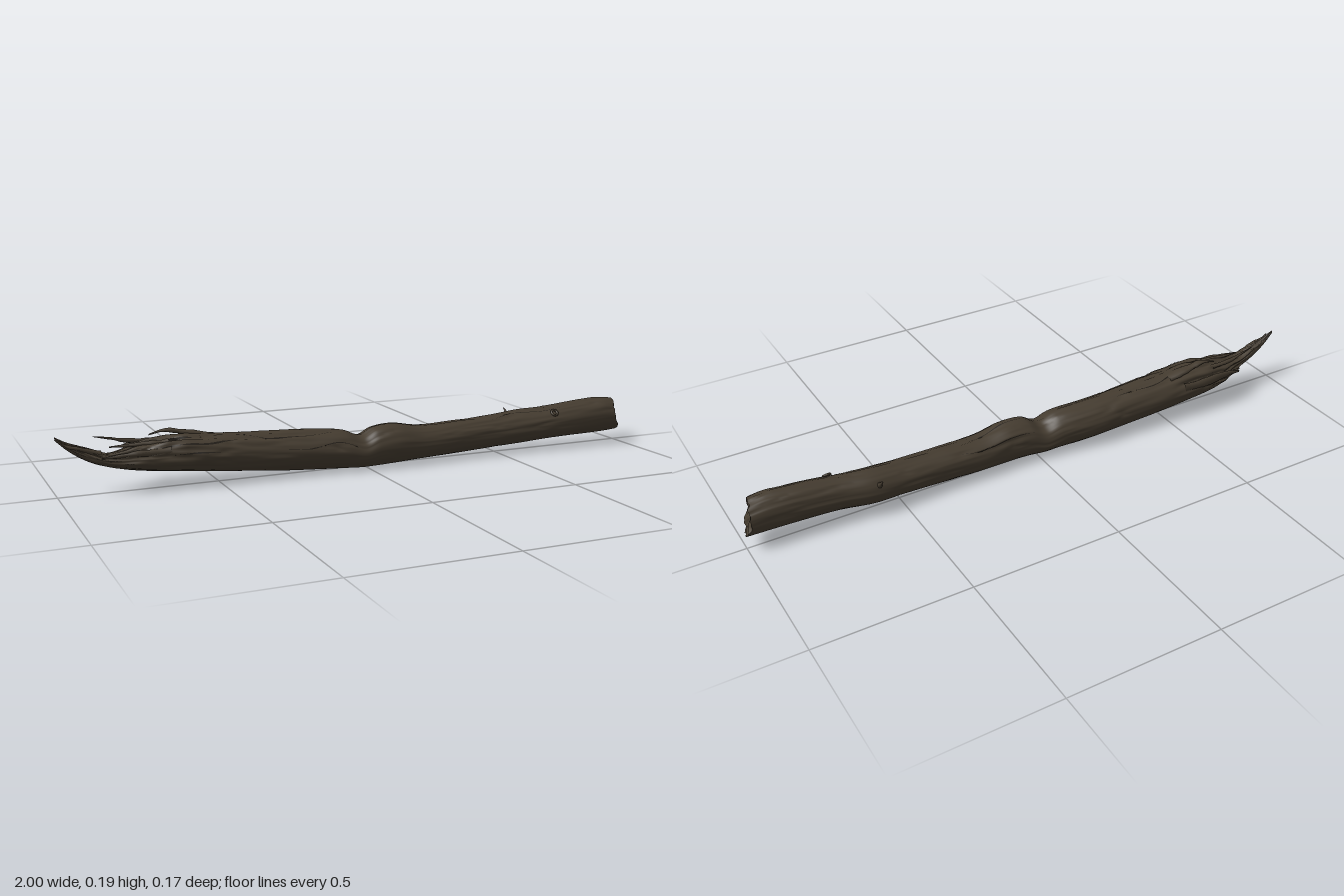
import * as THREE from 'three';

// Trunk cross-sections: x, bottom y, top y, back z, front z
const SECTIONS = [
  [-1, 0.18, 0.19, -0.004, 0.004], [-0.96, 0.143, 0.168, -0.01, 0.013],
  [-0.9, 0.105, 0.148, -0.018, 0.026], [-0.85, 0.088, 0.13, -0.026, 0.04],
  [-0.8, 0.075, 0.135, -0.04, 0.048], [-0.75, 0.064, 0.148, -0.068, 0.055],
  [-0.68, 0.053, 0.158, -0.08, 0.061], [-0.6, 0.045, 0.162, -0.081, 0.065],
  [-0.5, 0.035, 0.156, -0.08, 0.066], [-0.35, 0.022, 0.148, -0.076, 0.066],
  [-0.2, 0.012, 0.142, -0.074, 0.068], [-0.08, 0.006, 0.132, -0.062, 0.076],
  [-0.02, 0.004, 0.112, -0.056, 0.08], [0.03, 0.005, 0.136, -0.052, 0.083],
  [0.1, 0.008, 0.142, -0.05, 0.084], [0.2, 0.013, 0.127, -0.05, 0.078],
  [0.35, 0.018, 0.13, -0.05, 0.07], [0.5, 0.024, 0.136, -0.055, 0.066],
  [0.6, 0.028, 0.144, -0.06, 0.066], [0.7, 0.036, 0.15, -0.045, 0.07],
  [0.85, 0.041, 0.164, -0.039, 0.074], [0.92, 0.044, 0.167, -0.037, 0.076],
  [0.97, 0.048, 0.16, -0.036, 0.075],
];

// Smooth seeded value noise in the range -1 to 1
function hash(x, y, z) {
  const s = Math.sin(x * 127.1 + y * 311.7 + z * 74.7) * 43758.5453;
  return (s - Math.floor(s)) * 2 - 1;
}
function noise(x, y, z) {
  const i = [x, y, z].map(Math.floor);
  const [u, v, w] = [x - i[0], y - i[1], z - i[2]].map((f) => f * f * (3 - 2 * f));
  const mix = THREE.MathUtils.lerp;
  const edge = (b, c) => mix(hash(i[0], i[1] + b, i[2] + c), hash(i[0] + 1, i[1] + b, i[2] + c), u);
  return mix(mix(edge(0, 0), edge(1, 0), v), mix(edge(0, 1), edge(1, 1), v), w);
}

const heights = new THREE.CatmullRomCurve3(SECTIONS.map((s) => new THREE.Vector3(s[0], s[1], s[2])));
const depths = new THREE.CatmullRomCurve3(SECTIONS.map((s) => new THREE.Vector3(s[0], s[3], s[4])));

// Bark surface point; a = 0 is up, a quarter turn is the front
function bark(t, a, lift = 0) {
  const h = heights.getPoint(t), d = depths.getPoint(t);
  const ry = (h.z - h.y) / 2, rz = (d.z - d.y) / 2;
  const c = Math.cos(a), s = Math.sin(a), x = h.x;
  const torn = THREE.MathUtils.smoothstep(-x, 0.45, 0.7);
  const upper = 0.35 + 0.65 * THREE.MathUtils.smoothstep(c, -0.6, 0.3);
  let k = 1 + 0.05 * noise(x * 4, c * 1.5, s * 1.5);
  k += upper * 0.035 * noise(x * 9, c * 6, s * 6 + 9);
  k -= upper * (0.05 + 0.12 * torn) * Math.max(0, 1 - 5 * Math.abs(noise(x * 5 + 3, c * 4, s * 4)));
  k += torn * upper * 0.14 * noise(x * 18, c * 5, s * 5);
  const y = (h.y + h.z) / 2 + (ry * k + lift) * c;
  const z = (d.y + d.z) / 2 + (rz * k + lift) * s;
  // Slanted, ragged cut with a lip along its foot
  const end = THREE.MathUtils.smoothstep(x, 0.88, 0.97);
  const cut = -0.25 * (z - 0.02) + 0.02 * THREE.MathUtils.smoothstep(-y, -0.1, -0.06)
    + 0.006 * noise(c * 5, s * 5, 2);
  return new THREE.Vector3(x + end * cut, y, z);
}

// Closed rings of points joined into a smooth skin
function skin(rows, sides, point) {
  const pos = [], index = [];
  for (let i = 0; i <= rows; i++) {
    for (let j = 0; j < sides; j++) {
      pos.push(...point(i / rows, (j / sides) * Math.PI * 2).toArray());
      if (i === rows) continue;
      const a = i * sides + j, b = i * sides + ((j + 1) % sides);
      index.push(a, b, b + sides, a, b + sides, a + sides);
    }
  }
  const g = new THREE.BufferGeometry();
  g.setAttribute('position', new THREE.Float32BufferAttribute(pos, 3));
  g.setIndex(index);
  g.computeVertexNormals();
  return g;
}

// Tapered splinter along a curve
function splinter(points, width, thick) {
  const curve = new THREE.CatmullRomCurve3(points.map((p) => new THREE.Vector3(...p)));
  return skin(14, 8, (t, a) => {
    const p = curve.getPoint(t);
    const k = (1 - 0.85 * t) * (1 + 0.3 * noise(t * 7, p.x * 30, Math.cos(a)));
    const dir = curve.getTangent(t);
    const side = new THREE.Vector3(0, 0, 1).addScaledVector(dir, -dir.z);
    if (side.lengthSq() < 0.01) side.set(0, 1, 0);
    side.normalize();
    const up = new THREE.Vector3().crossVectors(side, dir);
    return p.addScaledVector(up, Math.cos(a) * thick * k).addScaledVector(side, Math.sin(a) * width * k);
  });
}

function sectionAt(x) {
  const i = Math.max(0, SECTIONS.findIndex((s) => s[0] > x) - 1);
  return (i + (x - SECTIONS[i][0]) / (SECTIONS[i + 1][0] - SECTIONS[i][0])) / (SECTIONS.length - 1);
}

// Thin tapering crack laid over the bark
function crack(x0, x1, angle, width) {
  const pos = [], index = [], n = 40;
  for (let i = 0; i <= n; i++) {
    const u = i / n, x = x0 + (x1 - x0) * u;
    const a = angle + 0.25 * noise(x * 9, angle, 1);
    const w = width * Math.sin(Math.PI * u) * (0.7 + 0.5 * noise(x * 30, angle, 5));
    for (const e of [-1, 1]) pos.push(...bark(sectionAt(x), a + e * w, 0.0012).toArray());
    if (i < n) index.push(i * 2, i * 2 + 1, i * 2 + 3, i * 2, i * 2 + 3, i * 2 + 2);
  }
  const g = new THREE.BufferGeometry();
  g.setAttribute('position', new THREE.Float32BufferAttribute(pos, 3));
  g.setIndex(index);
  g.computeVertexNormals();
  return g;
}

export function createModel() {
  const group = new THREE.Group();
  group.name = 'fallenLog';
  const barkMat = new THREE.MeshStandardMaterial({ name: 'bark brown', color: 0x453c30 });
  const crackMat = new THREE.MeshStandardMaterial({ name: 'crack dark brown', color: 0x241f19, side: THREE.DoubleSide });
  const add = (name, geometry, material = barkMat) => {
    const m = new THREE.Mesh(geometry, material);
    m.name = name;
    group.add(m);
  };

  add('trunk', skin(330, 72, (t, a) => bark(t, a)));

  // Cut end: rings shrinking to an uneven, slightly sunken face
  const mid = new THREE.Vector3(0.968, 0.103, 0.02);
  add('cutEnd', skin(12, 72, (t, a) => {
    const p = bark(1, a).lerp(mid, t);
    p.x += Math.sin(Math.PI * t) * 0.008 * noise(p.y * 45, p.z * 45, 4);
    return p;
  }));

  // Torn end: splinters, flakes and twigs; path, width, thickness
  [
    ['tornCrest', [[-0.52, 0.148, -0.025], [-0.6, 0.166, -0.03], [-0.66, 0.176, -0.032], [-0.71, 0.165, -0.035]], 0.026, 0.012],
    ['backFlake', [[-0.56, 0.115, -0.07], [-0.68, 0.125, -0.078], [-0.75, 0.13, -0.081], [-0.79, 0.125, -0.083]], 0.012, 0.022],
    ['upperTwig', [[-0.7, 0.148, -0.04], [-0.78, 0.152, -0.042], [-0.83, 0.164, -0.04], [-0.88, 0.174, -0.036]], 0.009, 0.008],
    ['middleSplinter', [[-0.66, 0.145, 0.01], [-0.75, 0.146, 0.005], [-0.84, 0.145, 0]], 0.014, 0.012],
    ['frontSplinter', [[-0.66, 0.125, 0.045], [-0.78, 0.125, 0.042], [-0.87, 0.12, 0.036]], 0.012, 0.014],
    ['tipFork', [[-0.87, 0.13, 0.01], [-0.93, 0.15, 0.016], [-0.97, 0.163, 0.012], [-0.985, 0.178, 0.01]], 0.012, 0.009],
    ['backSplinter', [[-0.66, 0.1, -0.06], [-0.76, 0.105, -0.058], [-0.82, 0.112, -0.05]], 0.014, 0.016],
    ['branchStub', [[0.58, 0.105, -0.04], [0.582, 0.122, -0.058], [0.578, 0.14, -0.072]], 0.011, 0.011],
  ].forEach(([name, path, width, thick]) => add(name, splinter(path, width, thick)));

  // Small knot on the upper bark
  const knot = new THREE.TorusGeometry(0.011, 0.004, 8, 20).rotateX(-Math.PI / 2);
  knot.rotateX(0.8).translate(0.71, 0.134, 0.054);
  add('knot', knot);

  // Lengthwise cracks: start, end, angle round the trunk, half width
  [
    [-0.72, -0.42, 0.9, 0.06], [-0.66, -0.5, 1.4, 0.05], [-0.45, -0.1, 0.5, 0.04],
    [-0.6, -0.3, -0.4, 0.05], [-0.05, 0.25, 0.1, 0.05], [0.02, 0.3, -0.7, 0.04],
    [0.45, 0.75, 0.5, 0.03], [-0.3, -0.04, 1.2, 0.03], [-0.7, -0.55, 0.2, 0.06],
  ].forEach(([x0, x1, angle, width], i) => add('crack' + (i + 1), crack(x0, x1, angle, width), crackMat));

  return group;
}
